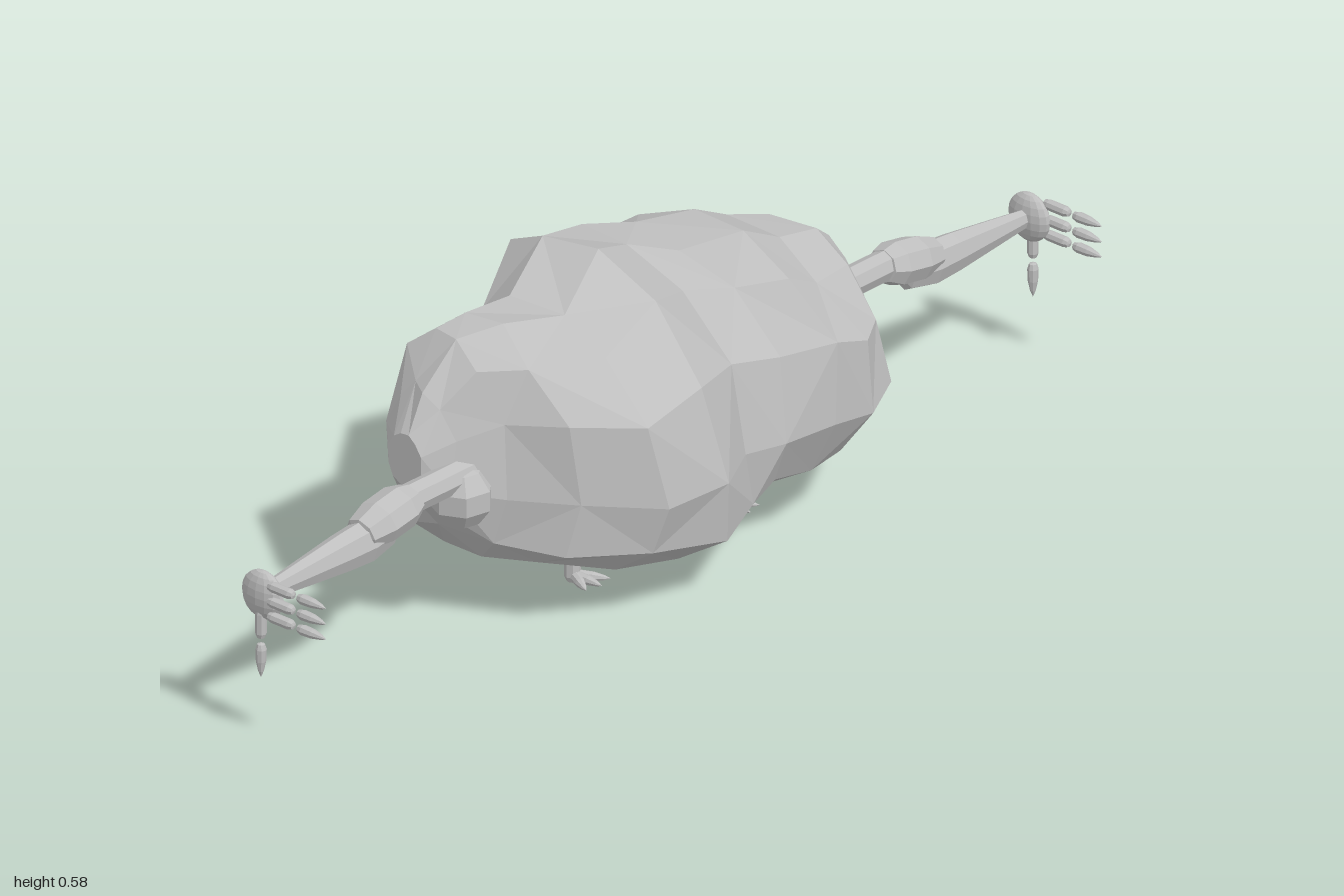
import * as THREE from 'three';

const grey = new THREE.MeshStandardMaterial({ color: 0xbebebe, flatShading: true });
grey.name = 'stone grey';

function part(name, geometry, x = 0, y = 0, z = 0) {
  const mesh = new THREE.Mesh(geometry, grey);
  mesh.name = name;
  mesh.position.set(x, y, z);
  return mesh;
}

// Lumpy boulder: faceted rings along x
function bodyGeometry() {
  // x, bottom, top, back, front, backward lean of the top
  const rings = [
    [-0.54, 0.29, 0.39, -0.09, -0.01, 0],
    [-0.49, 0.2, 0.46, -0.13, 0.02, -0.05],
    [-0.42, 0.125, 0.535, -0.175, 0.08, -0.1],
    [-0.35, 0.11, 0.545, -0.18, 0.18, -0.2],
    [-0.23, 0.09, 0.535, -0.19, 0.275, -0.3],
    [-0.08, 0.06, 0.585, -0.25, 0.285, -0.38],
    [0.05, 0.07, 0.535, -0.255, 0.215, -0.42],
    [0.13, 0.08, 0.52, -0.27, 0.24, -0.25],
    [0.22, 0.08, 0.535, -0.29, 0.275, -0.04],
    [0.31, 0.085, 0.485, -0.265, 0.26, -0.08],
    [0.39, 0.115, 0.475, -0.19, 0.225, -0.08],
    [0.45, 0.18, 0.43, -0.1, 0.11, 0],
    [0.49, 0.26, 0.37, -0.03, 0.04, 0],
  ];
  const sides = 12, points = [], index = [];
  const soft = v => Math.sign(v) * Math.abs(v) ** 0.82;
  const clamp = THREE.MathUtils.clamp;
  rings.forEach(([x, y0, y1, z0, z1, lean], i) => {
    const cy = (y0 + y1) / 2, cz = (z0 + z1) / 2;
    const inner = i > 0 && i < rings.length - 1 ? 1 : 0;
    for (let j = 0; j < sides; j++) {
      const a = (j + 0.5) / sides * Math.PI * 2;
      const bump = 1.02 + 0.03 * Math.sin(i * 2.3 + j * 3.9);
      const up = soft(Math.sin(a)), out = soft(Math.cos(a));
      // Narrow the crown and chamfer the lower back
      const narrow = up > 0 ? 0.34 : out < 0 ? 0.22 : 0.06;
      const dy = up * (y1 - y0) / 2 * bump;
      const dz = out * (z1 - z0) / 2 * bump * (1 - narrow * up * up);
      const shift = lean * dy * (up > 0 ? 1 : 0.75);
      points.push(
        x + inner * 0.012 * Math.sin(j * 2.1 + i),
        clamp(cy + dy, y0, y1),
        clamp(cz + dz + shift, z0, z1));
    }
  });
  const last = (rings.length - 1) * sides;
  for (let i = 0; i < rings.length - 1; i++) {
    for (let j = 0; j < sides; j++) {
      const a = i * sides + j, b = i * sides + (j + 1) % sides, c = a + sides, d = b + sides;
      if ((i + j) % 2) index.push(a, c, b, b, c, d);
      else index.push(a, c, d, a, d, b);
    }
  }
  for (let j = 1; j < sides - 1; j++) {
    index.push(0, j, j + 1, last, last + j + 1, last + j);
  }
  const g = new THREE.BufferGeometry();
  g.setAttribute('position', new THREE.Float32BufferAttribute(points, 3));
  g.setIndex(index);
  const flat = g.toNonIndexed();
  flat.computeVertexNormals();
  return flat;
}

// Turned profile of [radius, height] pairs, growing along +y
const turned = profile =>
  new THREE.LatheGeometry(profile.map(([r, h]) => new THREE.Vector2(r, h)), 8);

const knuckle = () => turned([[0, 0], [0.008, 0.003], [0.01, 0.012], [0.01, 0.05], [0.007, 0.058], [0, 0.06]]);
const claw = () => turned([[0, 0], [0.007, 0.002], [0.01, 0.012], [0.009, 0.035], [0.005, 0.054], [0, 0.066]]);

function finger(name) {
  const g = new THREE.Group();
  g.name = name;
  g.add(part('knuckle', knuckle()), part('claw', claw(), 0, 0.069, 0));
  return g;
}

function arm(side) {
  const g = new THREE.Group();
  g.name = side > 0 ? 'leftArm' : 'rightArm';
  const z = 0.02;

  // Shoulder ball and limb segments
  g.add(part('shoulder', new THREE.SphereGeometry(0.06, 7, 5), side * 0.472, 0.272, z));
  const limb = (name, x, y, tilt, depth, profile) => {
    const m = part(name, turned(profile), side * x, y, z);
    m.rotation.z = -side * (Math.PI / 2 + tilt);
    m.scale.z = depth;
    g.add(m);
  };
  limb('upperArm', 0.4, 0.312, 0, 1, [[0, 0], [0.028, 0], [0.028, 0.25], [0, 0.25]]);
  limb('elbow', 0.6, 0.312, 0.17, 1.12,
    [[0, 0], [0.03, 0.002], [0.04, 0.03], [0.04, 0.085], [0.03, 0.13], [0, 0.14]]);
  limb('forearm', 0.65, 0.275, 0.02, 0.8,
    [[0, 0], [0.03, 0.01], [0.042, 0.07], [0.038, 0.13], [0.027, 0.23], [0.018, 0.31], [0, 0.32]]);

  // Flattened palm
  const palm = part('palm', new THREE.SphereGeometry(0.046, 14, 10), side * 0.978, 0.268, z);
  palm.scale.x = 0.45;
  g.add(palm);

  // Three fingers forward, thumb down
  for (const y of [0.298, 0.268, 0.239]) {
    const f = finger('finger');
    f.position.set(side * 0.99, y, 0.044);
    f.rotation.x = Math.PI / 2;
    g.add(f);
  }
  const thumb = finger('thumb');
  thumb.position.set(side * 0.985, 0.246, 0.022);
  thumb.rotation.x = Math.PI;
  g.add(thumb);
  return g;
}

function leg(side) {
  const g = new THREE.Group();
  g.name = side > 0 ? 'leftLeg' : 'rightLeg';
  g.position.set(side * 0.19, 0, 0.022);
  g.add(part('shin', turned(
    [[0, 0], [0.011, 0.002], [0.015, 0.012], [0.015, 0.16], [0, 0.16]])));
  // Splayed toes
  for (const turn of [-0.5, 0, 0.5]) {
    const toe = part('toe', claw(), 0, 0.014, 0.003);
    toe.rotation.set(Math.PI / 2, 0, -turn);
    g.add(toe);
  }
  return g;
}

export function createModel() {
  const model = new THREE.Group();
  model.name = 'boulderCreature';
  model.add(part('body', bodyGeometry()));
  for (const side of [1, -1]) model.add(arm(side), leg(side));
  return model;
}
